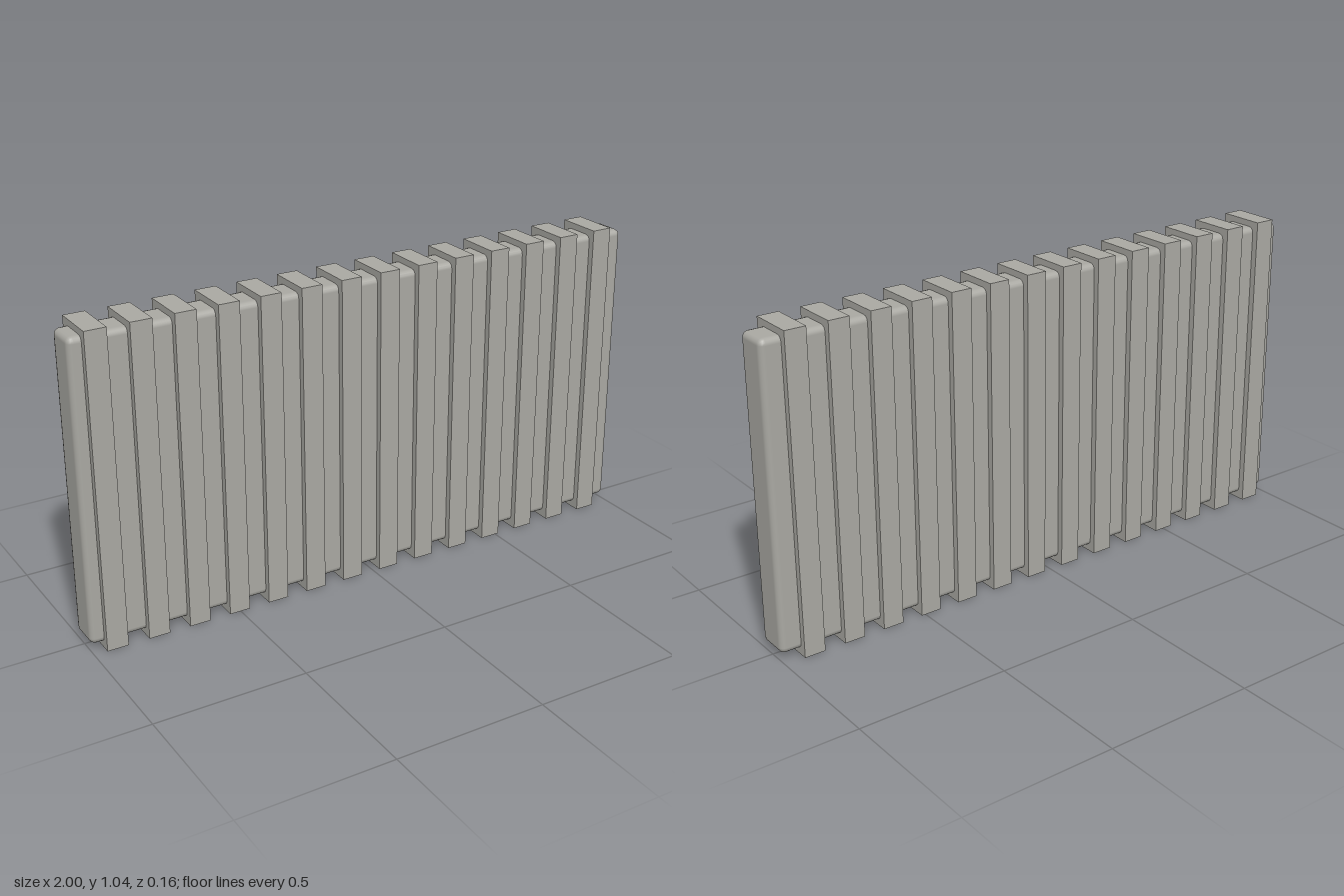
import * as THREE from 'three';
import { RoundedBoxGeometry } from 'three/addons/geometries/RoundedBoxGeometry.js';

export function createModel() {
  const model = new THREE.Group();
  model.name = 'ribbedPanel';
  const stone = new THREE.MeshStandardMaterial({ color: 0xa9a8a2 });
  stone.name = 'warm grey';

  // Core slab with softly rounded edges
  const slab = new THREE.Mesh(new RoundedBoxGeometry(2, 1, 0.116, 2, 0.02), stone);
  slab.name = 'slab';
  slab.position.y = 0.521;
  model.add(slab);

  // Evenly spaced vertical ribs that stand proud on every side
  const ribs = new THREE.Group();
  ribs.name = 'ribs';
  const ribGeometry = new THREE.BoxGeometry(0.07, 1.042, 0.158);
  for (let i = 0; i < 14; i++) {
    const rib = new THREE.Mesh(ribGeometry, stone);
    rib.name = `rib${i + 1}`;
    rib.position.set(-0.922 + i * 0.14, 0.521, 0);
    ribs.add(rib);
  }
  model.add(ribs);
  return model;
}
